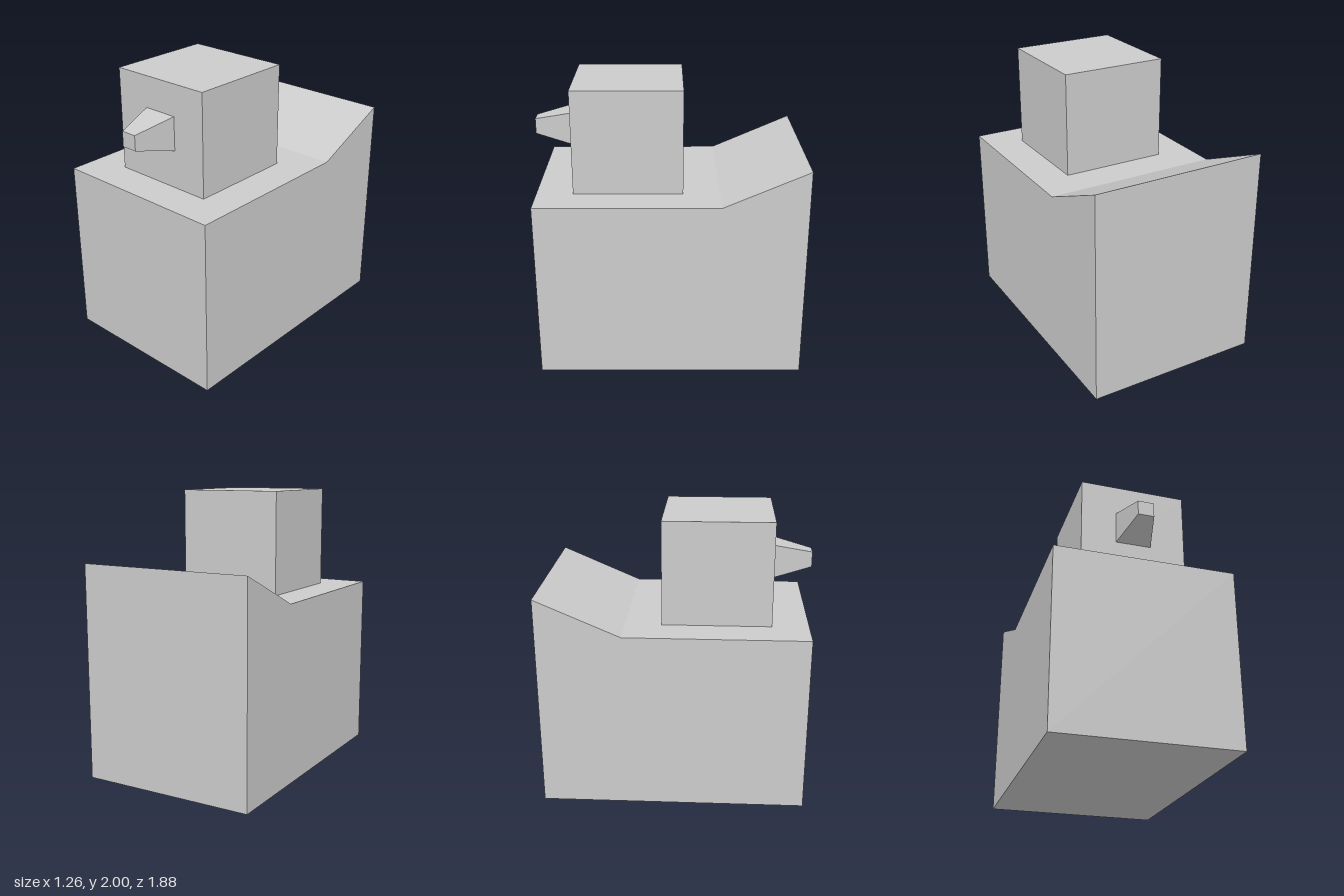
import * as THREE from 'three';

const material = new THREE.MeshStandardMaterial({ color: 0xcccccc, flatShading: true });

function part(name, geometry, x = 0, y = 0, z = 0) {
  const mesh = new THREE.Mesh(geometry, material);
  mesh.name = name;
  mesh.position.set(x, y, z);
  return mesh;
}

// Side profile (front to back) extruded across the width
function bodyGeometry(width) {
  const profile = [[-0.915, 0], [0.94, 0], [0.94, 1.525], [0.355, 1.27], [-0.915, 1.27]];
  const shape = new THREE.Shape(profile.map(([x, y]) => new THREE.Vector2(x, y)));
  const geometry = new THREE.ExtrudeGeometry(shape, { depth: width, bevelEnabled: false });
  return geometry.translate(0, 0, -width / 2).rotateY(Math.PI / 2);
}

// Box whose front face is shrunk towards its axis
function taperedBox(width, height, depth, taper) {
  const geometry = new THREE.BoxGeometry(width, height, depth);
  const p = geometry.attributes.position;
  for (let i = 0; i < p.count; i++) {
    if (p.getZ(i) > 0) p.setXY(i, p.getX(i) * taper, p.getY(i) * taper);
  }
  geometry.computeVertexNormals();
  return geometry;
}

export function createModel() {
  const model = new THREE.Group();
  model.name = 'blockBird';
  model.add(
    // Body with upswept tail
    part('body', bodyGeometry(1.265)),
    // Head
    part('head', new THREE.BoxGeometry(0.76, 0.73, 0.76), 0, 1.635, 0.28),
    // Beak
    part('beak', taperedBox(0.254, 0.238, 0.28, 0.45), 0, 1.659, 0.8)
  );
  return model;
}
